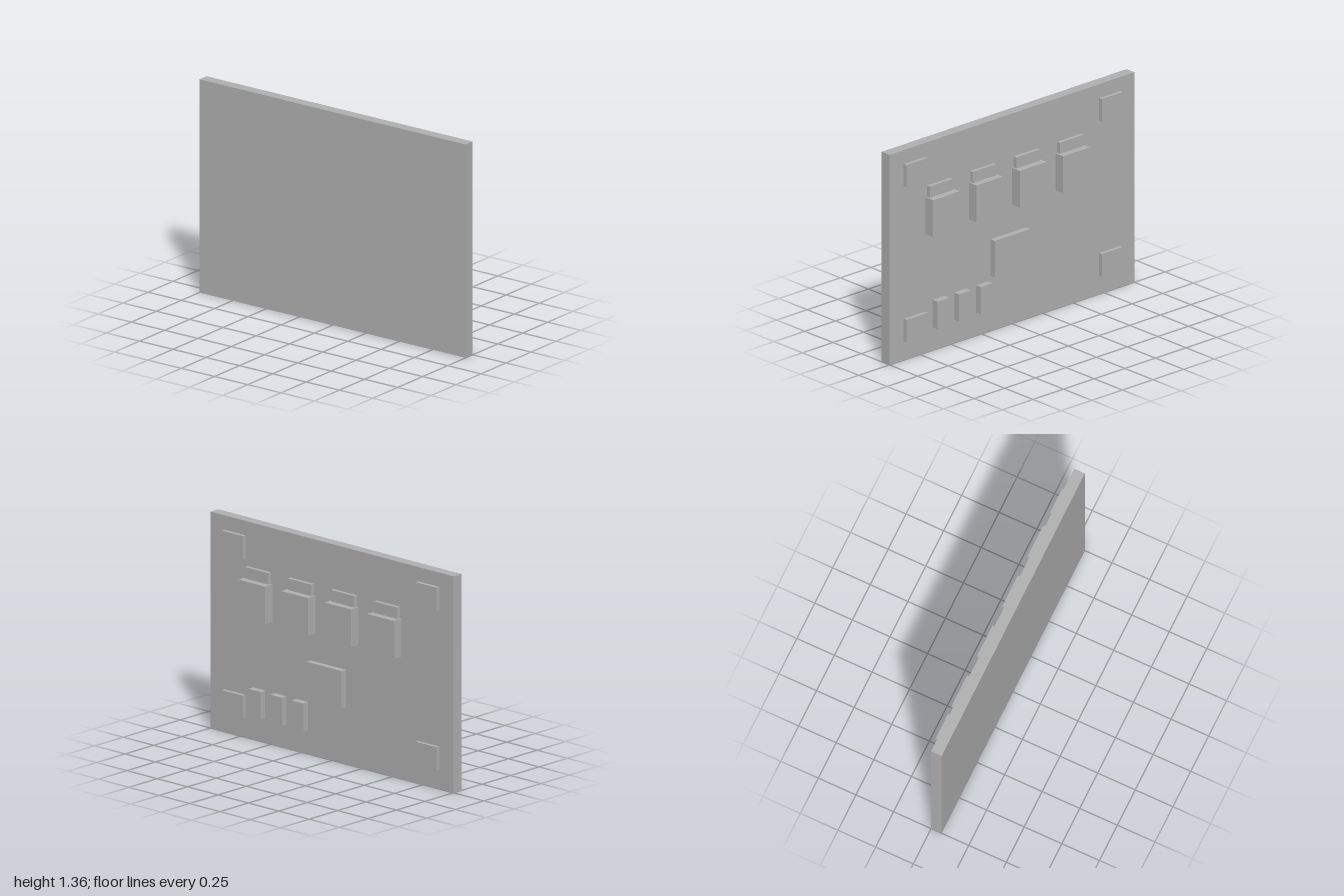
import * as THREE from 'three';

export function createModel() {
  const group = new THREE.Group();
  const gray = new THREE.MeshStandardMaterial({ color: 0xb2b2b2 });
  gray.name = 'plain gray';

  // Box given by its x, y and z ranges
  const box = (name, [x0, x1], [y0, y1], [z0, z1]) => {
    const mesh = new THREE.Mesh(new THREE.BoxGeometry(x1 - x0, y1 - y0, z1 - z0), gray);
    mesh.position.set((x0 + x1) / 2, (y0 + y1) / 2, (z0 + z1) / 2);
    mesh.name = name;
    group.add(mesh);
  };
  const around = (centre, width) => [centre - width / 2, centre + width / 2];

  // Upright board
  box('board', [-0.07, 0], [0, 1.355], [-1, 1]);

  // Corner pads
  for (const y of [0.194, 1.193])
    for (const z of [-0.797, 0.797])
      box('cornerPad', [0, 0.025], around(y, 0.145), around(z, 0.173));

  // Row of terminal blocks, each with a thin tab above
  for (let i = 0; i < 4; i++) {
    const z = 0.598 - i * 0.354;
    box('terminalBlock', [0, 0.068], [0.767, 1.004], around(z, 0.217));
    box('terminalTab', [0, 0.025], [1.004, 1.076], around(z, 0.192));
  }

  // Central chip
  box('chip', [0, 0.039], [0.355, 0.591], [-0.115, 0.175]);

  // Three small components
  for (let i = 0; i < 3; i++)
    box('smallComponent', [0, 0.043], [0.15, 0.326], around(0.599 - i * 0.177, 0.098));

  return group;
}
